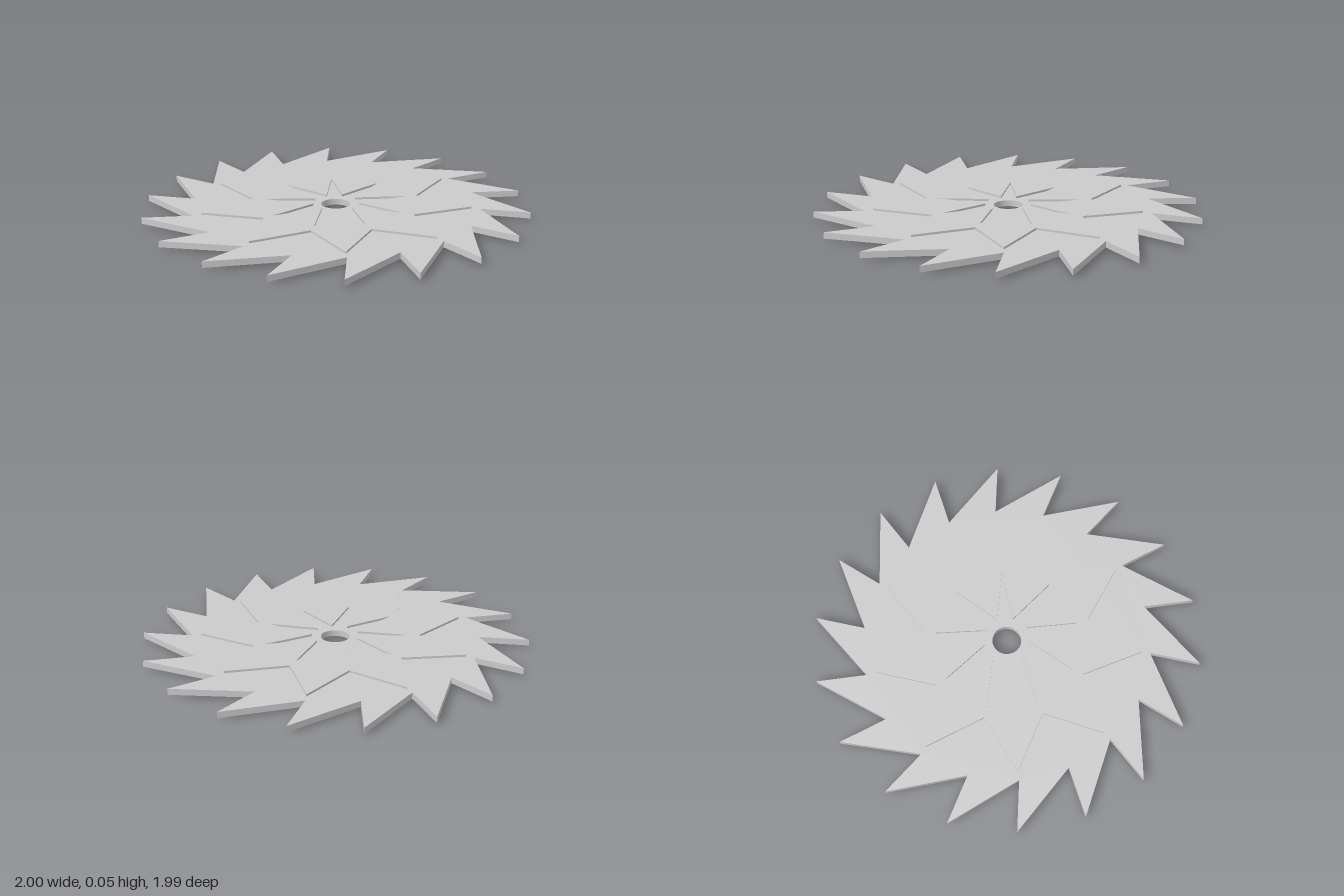
import * as THREE from 'three';

// Closed zigzag outline: n tips at radius tipR and n valleys at radius valleyR (angles in degrees)
function zigzag(n, tipR, tipDeg, valleyR, valleyDeg) {
  const points = [];
  const add = (r, deg) => {
    const a = THREE.MathUtils.degToRad(deg);
    points.push(new THREE.Vector2(r * Math.cos(a), r * Math.sin(a)));
  };
  for (let i = 0; i < n; i++) {
    const step = (i * 360) / n;
    add(tipR, tipDeg + step);
    add(valleyR, valleyDeg + step);
  }
  return points;
}

// Flat plate lying in the xz plane between heights y0 and y1
function plate(name, shape, y0, y1, material) {
  const geometry = new THREE.ExtrudeGeometry(shape, {
    depth: y1 - y0, bevelEnabled: false, curveSegments: 48,
  });
  geometry.rotateX(-Math.PI / 2);
  geometry.translate(0, y0, 0);
  const mesh = new THREE.Mesh(geometry, material);
  mesh.name = name;
  return mesh;
}

export function createModel() {
  const group = new THREE.Group();
  group.name = 'sawBlade';
  const material = new THREE.MeshStandardMaterial({ color: 0xcccccc });
  const height = 0.054, bladeBottom = 0.011, bladeTop = 0.043;

  // Disc with hooked teeth (each tip leans back over its own valley) and a round arbor hole
  const blade = new THREE.Shape(zigzag(18, 1.002, 4.2, 0.743, 26));
  blade.holes.push(new THREE.Path().absarc(0, 0, 0.075, 0, Math.PI * 2, true));
  group.add(plate('toothedDisc', blade, bladeBottom, bladeTop, material));

  // Thin star on each face, with a sharp star-shaped opening
  const star = new THREE.Shape(zigzag(9, 0.7, 5.8, 0.436, 25.8));
  star.holes.push(new THREE.Path(zigzag(9, 0.38, 25.6, 0.12, 45.6)));
  group.add(plate('upperStar', star, bladeTop, height, material));
  group.add(plate('lowerStar', star, 0, bladeBottom, material));

  return group;
}
